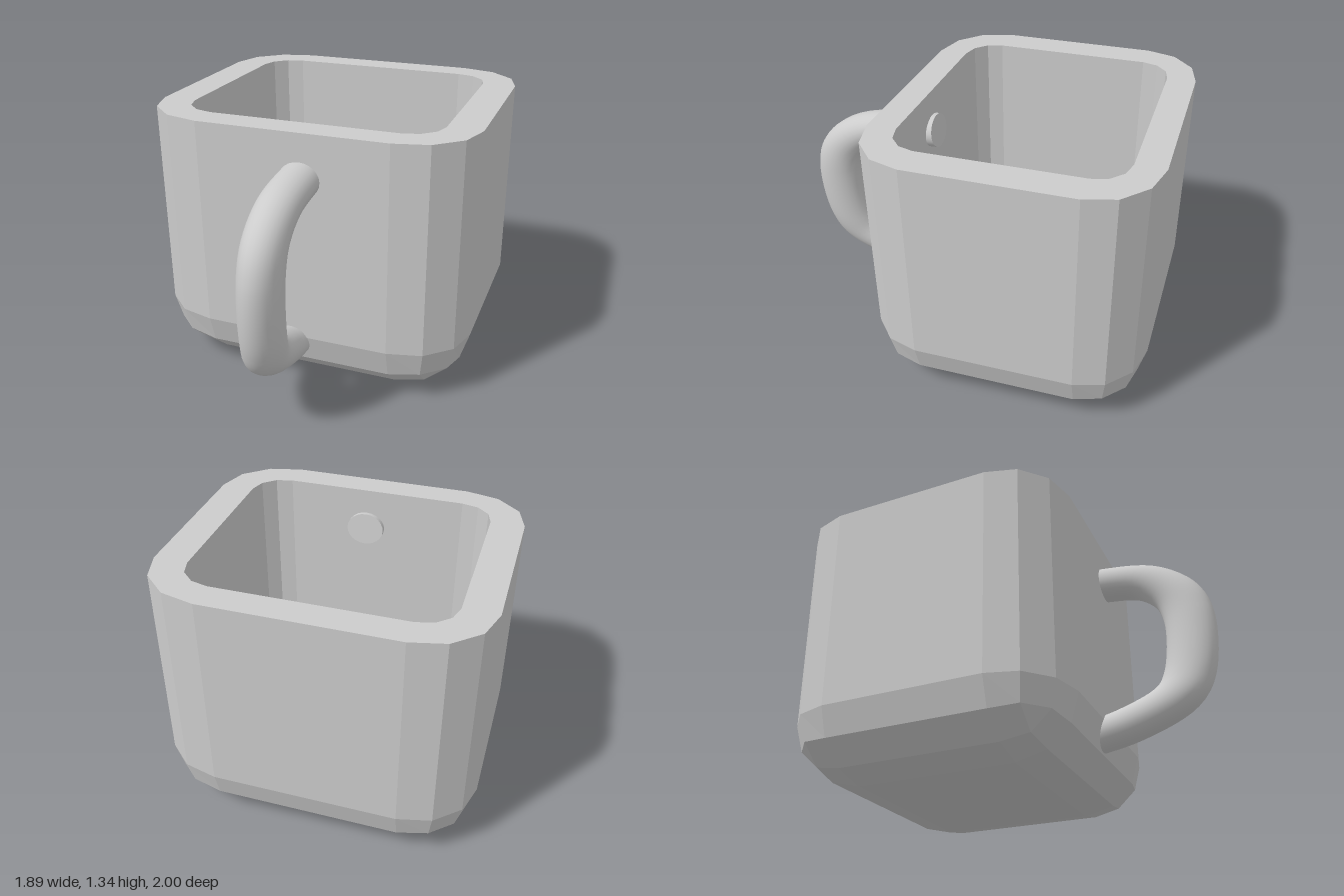
import * as THREE from 'three';

const HEIGHT = 1.335;

// Directions across one rounded bottom corner, from the flat base (first) up to the wall (last)
const CORNER = [
  [[0, 1, 0], [0, 1, 0], [0, 1, 0], [0, 1, 0]],
  [[0.5, 0.866, 0], [0.45, 0.77, 0.45], [0.45, 0.77, 0.45], [0, 0.866, 0.5]],
  [[0.866, 0.5, 0], [0.77, 0.45, 0.45], [0.45, 0.45, 0.77], [0, 0.5, 0.866]],
  [[1, 0, 0], [0.866, 0, 0.5], [0.5, 0, 0.866], [0, 0, 1]],
];

// Rounded-rectangle rings of one shell, from its base to the rim
function shellRings(rx, ry, rz, bevelTop) {
  const flatX = 0.47, flatZ = 0.405;
  const ring = (dirs, y) => {
    const points = [];
    for (const [sx, sz] of [[1, 1], [-1, 1], [-1, -1], [1, -1]]) {
      const ordered = sx * sz > 0 ? dirs : [...dirs].reverse();
      for (const [dx, dy, dz] of ordered) {
        points.push(new THREE.Vector3(sx * (flatX + rx * dx), y - ry * dy, sz * (flatZ + rz * dz)));
      }
    }
    return points;
  };
  return [...CORNER.map((dirs) => ring(dirs, bevelTop)), ring(CORNER[3], HEIGHT)];
}

// Outer wall, rim and inner wall as one closed faceted skin
function cupGeometry() {
  const outer = shellRings(0.34, 0.285, 0.305, 0.285);
  const inner = shellRings(0.17, 0.14, 0.157, 0.285);
  const rings = [...outer, ...inner.reverse()];
  const positions = [];
  const triangle = (a, b, c) => {
    const area = b.clone().sub(a).cross(c.clone().sub(a)).length();
    if (area > 1e-7) for (const p of [a, b, c]) positions.push(p.x, p.y, p.z);
  };
  for (let i = 0; i < rings.length - 1; i++) {
    const low = rings[i], high = rings[i + 1];
    for (let j = 0; j < 16; j++) {
      const k = (j + 1) % 16;
      triangle(low[j], high[j], high[k]);
      triangle(low[j], high[k], low[k]);
    }
  }
  // Underside and cavity floor
  const base = rings[0], floor = rings[rings.length - 1];
  triangle(base[0], base[4], base[8]);
  triangle(base[0], base[8], base[12]);
  triangle(floor[0], floor[8], floor[4]);
  triangle(floor[0], floor[12], floor[8]);

  const geometry = new THREE.BufferGeometry();
  geometry.setAttribute('position', new THREE.Float32BufferAttribute(positions, 3));
  geometry.computeVertexNormals();
  return geometry;
}

// Round tube with end discs, stretched into an oval section
function createHandle(material) {
  const handle = new THREE.Group();
  handle.name = 'handle';
  const stretch = new THREE.Vector3(1, 0.85, 1.25);
  const radius = 0.1;
  const path = new THREE.CatmullRomCurve3([
    [0.045, 1.12, 0.53], [0.045, 1.11, 0.72], [0.045, 1.07, 0.93],
    [0.045, 0.97, 1.07], [0.045, 0.83, 1.13], [0.03, 0.5, 1.105],
    [0.01, 0.38, 1.03], [-0.02, 0.27, 0.8], [-0.03, 0.23, 0.62],
  ].map((p) => new THREE.Vector3(...p).divide(stretch)));

  const grip = new THREE.Mesh(new THREE.TubeGeometry(path, 48, radius, 24), material);
  grip.name = 'handleGrip';
  handle.add(grip);

  for (const [t, sign, name] of [[0, -1, 'handleUpperEnd'], [1, 1, 'handleLowerEnd']]) {
    const end = new THREE.Mesh(new THREE.CircleGeometry(radius, 24), material);
    end.name = name;
    end.position.copy(path.getPointAt(t));
    end.quaternion.setFromUnitVectors(
      new THREE.Vector3(0, 0, 1), path.getTangentAt(t).multiplyScalar(sign));
    handle.add(end);
  }
  handle.scale.copy(stretch);
  return handle;
}

export function createModel() {
  const model = new THREE.Group();
  model.name = 'mug';

  // The whole mug is turned about its vertical axis
  const turned = new THREE.Group();
  turned.name = 'turnedMug';
  turned.rotation.y = THREE.MathUtils.degToRad(-33.6);
  turned.position.z = -0.085;
  model.add(turned);

  const cup = new THREE.Mesh(
    cupGeometry(), new THREE.MeshStandardMaterial({ color: 0xcccccc, flatShading: true }));
  cup.name = 'cup';
  turned.add(cup);

  turned.add(createHandle(new THREE.MeshStandardMaterial({ color: 0xcccccc })));
  return model;
}
